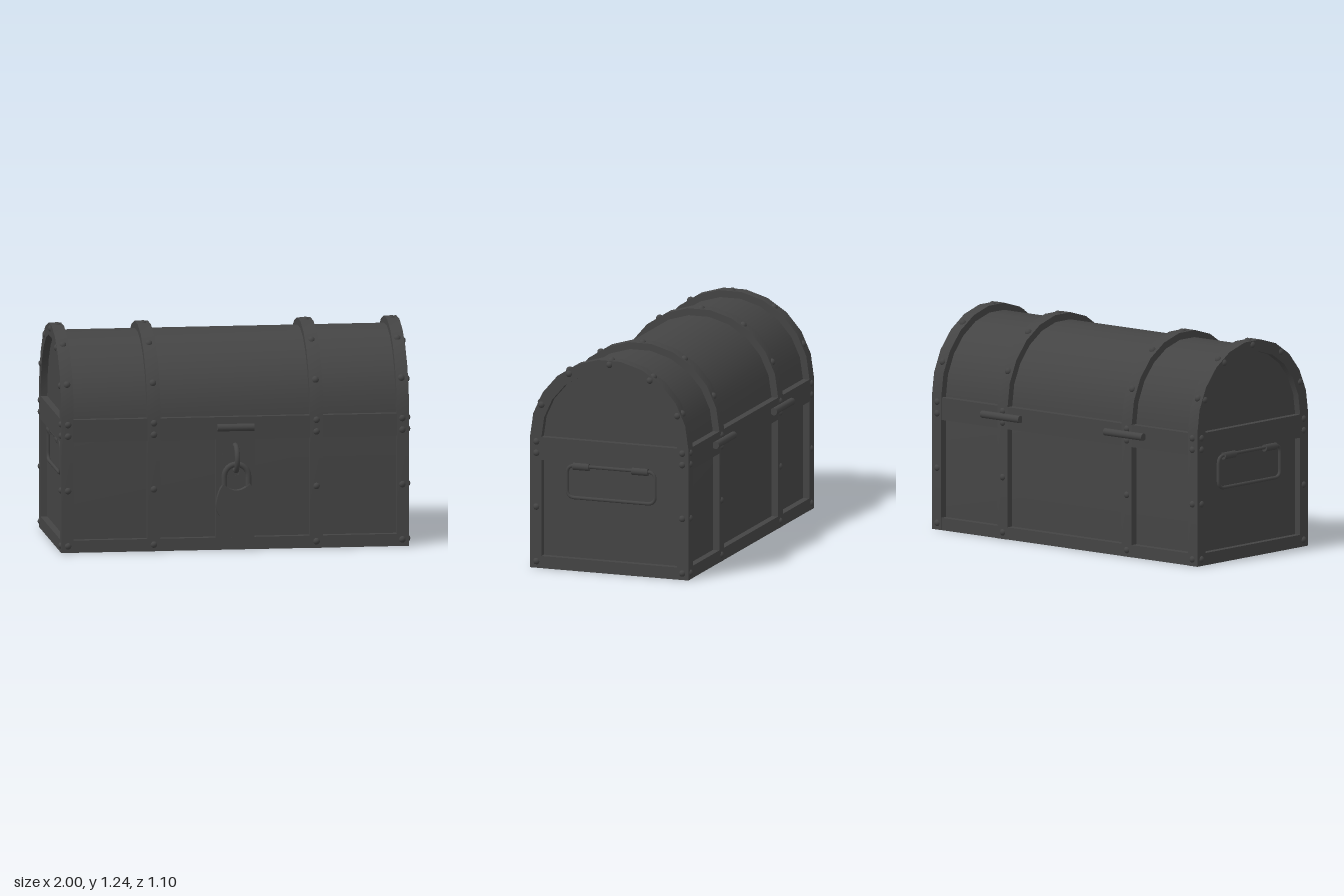
import * as THREE from 'three';
import { toCreasedNormals } from 'three/addons/utils/BufferGeometryUtils.js';

const MID_Z = -0.0375;    // middle of the chest body
const R = 0.4775;         // outer half depth and lid radius
const SPRING = 0.757;     // height where the lid arch starts
const END = 0.988;        // outer end of the frame
const SEG = 11;           // facets of the lid arch

export function createModel() {
  const root = new THREE.Group();
  root.name = 'treasureChest';
  const mat = new THREE.MeshStandardMaterial({ color: 0x444444 });

  const add = (name, geo, x = 0, y = 0, z = 0, parent = root) => {
    const m = new THREE.Mesh(geo, mat);
    m.name = name;
    m.position.set(x, y, z);
    parent.add(m);
    return m;
  };

  // Arched outline: straight sides from y0, faceted half circle above
  const archPoints = (r, y0) => {
    const pts = [new THREE.Vector2(-r, y0), new THREE.Vector2(r, y0)];
    for (let i = y0 < SPRING ? 0 : 1; i < SEG + (y0 < SPRING ? 1 : 0); i++) {
      const a = (i / SEG) * Math.PI;
      pts.push(new THREE.Vector2(r * Math.cos(a), SPRING + r * Math.sin(a)));
    }
    return pts;
  };

  // Extrude a side profile along x, centred on x = 0
  const alongX = (shape, width) => {
    const g = new THREE.ExtrudeGeometry(shape, { depth: width, bevelEnabled: false });
    g.translate(0, 0, -width / 2);
    g.rotateY(Math.PI / 2);
    return toCreasedNormals(g, 0.5);
  };

  const body = new THREE.Group();
  body.name = 'body';
  body.position.z = MID_Z;
  root.add(body);

  // Recessed panels and lid barrel
  add('panelsAndLid', alongX(new THREE.Shape(archPoints(0.4375, 0.003)), 1.9), 0, 0, 0, body);

  // End frames with a lower and an upper opening
  const frame = new THREE.Shape(archPoints(R, 0));
  const lower = [[-0.409, 0.07], [-0.409, 0.625], [0.409, 0.625], [0.409, 0.07]];
  frame.holes.push(new THREE.Path(lower.map(p => new THREE.Vector2(...p))));
  frame.holes.push(new THREE.Path(archPoints(0.409, SPRING).reverse()));
  const frameGeo = alongX(frame, 0.07);
  const bandGeo = alongX(new THREE.Shape(archPoints(R, 0)), 0.075);
  for (const s of [-1, 1]) {
    add('endFrame', frameGeo, s * (END - 0.035), 0, 0, body);
    add('middleBand', bandGeo, s * 0.462, 0, 0, body);
  }

  // Horizontal rails and the front strip behind the lock
  const railLength = 2 * (END - 0.07);
  add('bottomRail', new THREE.BoxGeometry(railLength, 0.07, 2 * R - 0.001), 0, 0.0355, 0, body);
  add('rimRail', new THREE.BoxGeometry(railLength, 0.127, 2 * R - 0.001), 0, 0.6935, 0, body);
  add('lockStrip', new THREE.BoxGeometry(0.22, 0.6, 0.06), 0, 0.345, R - 0.031, body);

  // Rivets
  const rivetGeo = new THREE.SphereGeometry(0.021, 14, 10);
  const rivet = (x, y, z) => add('rivet', rivetGeo, x, y, z, body);
  const heights = [0.038, 0.353, 0.664, 0.73];
  const angles = [1, 3, 5, 7, 9].map(i => ((i + 0.5) / SEG) * Math.PI);
  for (const s of [-1, 1]) {
    for (const x of [0.462, 0.95]) {
      for (const y of heights) for (const f of [-1, 1]) rivet(s * x, y, f * (R - 0.009));
      for (const a of angles) {
        const r = R * Math.cos(Math.PI / SEG / 2) - 0.007;
        rivet(s * x, SPRING + r * Math.sin(a), r * Math.cos(a));
      }
    }
    const ex = s * (END - 0.009);
    for (const y of heights) for (const f of [-1, 1]) rivet(ex, y, f * 0.44);
    for (const a of angles) rivet(ex, SPRING + 0.45 * Math.sin(a), 0.45 * Math.cos(a));
  }

  // Back hinges
  const barrel = (len, r) => new THREE.CylinderGeometry(r, r, len, 16).rotateZ(Math.PI / 2);
  for (const s of [-1, 1]) add('hinge', barrel(0.285, 0.021), s * 0.458, 0.7, -0.53);

  // Side handles: a rounded loop hung from two clips
  const loop = new THREE.CurvePath();
  const hw = 0.265, top = 0.602, low = 0.418, c = 0.045;
  const v = (z, y) => new THREE.Vector3(0, y, z);
  const corners = [[-hw, low], [hw, low], [hw, top], [-hw, top]];
  corners.forEach((p, i) => {
    const q = corners[(i + 1) % 4], n = corners[(i + 2) % 4];
    const toward = (a, b) => v(a[0] + Math.sign(b[0] - a[0]) * c, a[1] + Math.sign(b[1] - a[1]) * c);
    loop.add(new THREE.LineCurve3(toward(p, q), toward(q, p)));
    loop.add(new THREE.QuadraticBezierCurve3(toward(q, p), v(...q), toward(q, n)));
  });
  const handleGeo = new THREE.TubeGeometry(loop, 120, 0.01, 8, true);
  const clipGeo = new THREE.CylinderGeometry(0.022, 0.022, 0.096, 14).rotateX(Math.PI / 2);
  for (const s of [-1, 1]) {
    add('handle', handleGeo, s * 0.964, 0, -0.04);
    for (const f of [-1, 1]) add('handleClip', clipGeo, s * 0.96, 0.599, -0.037 + f * 0.177);
  }

  // Hasp: hinge barrel and a tapering slotted plate
  add('haspHinge', barrel(0.21, 0.021), 0, 0.7, 0.463);
  const plate = new THREE.Shape();
  plate.moveTo(-0.075, 0.7);
  plate.lineTo(-0.075, 0.56);
  plate.quadraticCurveTo(-0.07, 0.48, -0.04, 0.41);
  plate.lineTo(0.04, 0.41);
  plate.quadraticCurveTo(0.07, 0.48, 0.075, 0.56);
  plate.lineTo(0.075, 0.7);
  const slot = new THREE.Path();
  slot.absarc(0, 0.595, 0.022, 0, Math.PI, false);
  slot.absarc(0, 0.45, 0.022, Math.PI, 2 * Math.PI, false);
  plate.holes.push(slot);
  const plateGeo = new THREE.ExtrudeGeometry(plate, { depth: 0.008, bevelEnabled: false });
  add('haspPlate', toCreasedNormals(plateGeo, 0.5), 0, 0, 0.459);

  // U-shaped bar; legs run along -y from a half ring
  const uBar = (radius, leg, tube) => {
    const path = new THREE.CurvePath();
    const pts = [];
    for (let i = 0; i <= 12; i++) {
      const a = Math.PI * (1 - i / 12);
      pts.push(new THREE.Vector3(radius * Math.cos(a), radius * Math.sin(a), 0));
    }
    path.add(new THREE.LineCurve3(new THREE.Vector3(-radius, -leg, 0), pts[0]));
    path.add(new THREE.CatmullRomCurve3(pts));
    path.add(new THREE.LineCurve3(pts[12], new THREE.Vector3(radius, -leg, 0)));
    return new THREE.TubeGeometry(path, 48, tube, 12);
  };

  // Staple through the hasp
  const stapleGeo = uBar(0.07, 0.04, 0.015).rotateZ(-Math.PI / 2).rotateY(-Math.PI / 2);
  add('staple', stapleGeo, 0, 0.525, 0.465);

  // Padlock
  add('shackle', uBar(0.069, 0.09, 0.016), 0, 0.425, 0.488);
  const lock = new THREE.Shape();
  lock.moveTo(-0.075, 0.385);
  lock.quadraticCurveTo(-0.112, 0.335, -0.116, 0.265);
  lock.absarc(0, 0.265, 0.116, Math.PI, 2 * Math.PI, false);
  lock.quadraticCurveTo(0.112, 0.335, 0.075, 0.385);
  lock.quadraticCurveTo(0, 0.31, -0.075, 0.385);
  const lockGeo = new THREE.ExtrudeGeometry(lock, { depth: 0.046, bevelEnabled: false, curveSegments: 20 });
  add('padlockBody', toCreasedNormals(lockGeo, 0.5), 0, 0, 0.465);

  return root;
}
